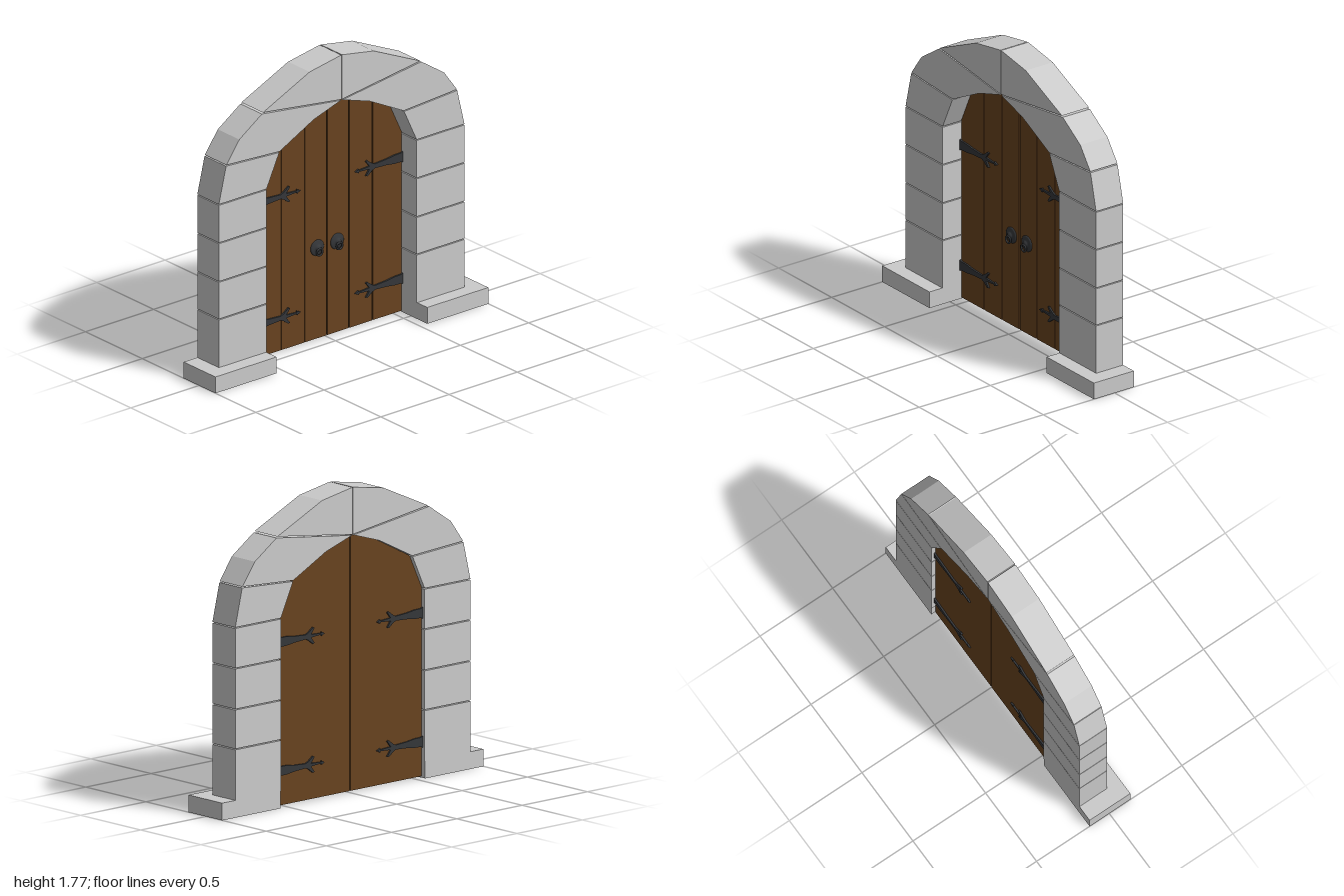
import * as THREE from 'three';

const stoneMat = new THREE.MeshStandardMaterial({ color: 0xcccccc, flatShading: true });
const woodMat = new THREE.MeshStandardMaterial({ color: 0x69431f, flatShading: true });
const ironMat = new THREE.MeshStandardMaterial({ color: 0x35373a });

const BACK = -0.135, FRONT = 0.055;             // stone depth
const DOOR_BACK = -0.11, DOOR_FRONT = -0.075;   // door depth
const GAP = 0.003;

// Flat outline extruded between two depths; side = -1 mirrors it in x
function slab(name, points, side, z0, z1, material) {
  const shape = new THREE.Shape(points.map(([x, y]) => new THREE.Vector2(x * side, y)));
  const geometry = new THREE.ExtrudeGeometry(shape, { depth: z1 - z0, bevelEnabled: false });
  geometry.translate(0, 0, z0);
  const mesh = new THREE.Mesh(geometry, material);
  mesh.name = name;
  return mesh;
}

const rect = (x0, x1, y0, y1) => [[x0, y0], [x1, y0], [x1, y1], [x0, y1]];

// Height of the door's arched top at a given x
const archLine = [[0, 1.495], [0.205, 1.43], [0.457, 1.3], [0.55, 1.1]];
function archHeight(x) {
  for (let i = 1; i < archLine.length; i++) {
    const [xa, ya] = archLine[i - 1], [xb, yb] = archLine[i];
    if (x <= xb) return ya + (yb - ya) * (x - xa) / (xb - xa);
  }
  return 1.1;
}

// Door outline between two x positions, following the arch
function doorOutline(x0, x1, y0) {
  const top = archLine.filter(([x]) => x > x0 && x < x1).reverse();
  return [[x0, y0], [x1, y0], [x1, archHeight(x1)], ...top, [x0, archHeight(x0)]];
}

function buildStonework(side) {
  const group = new THREE.Group();
  group.name = side > 0 ? 'leftStonework' : 'rightStonework';

  // Wide foot stepping out to the front
  group.add(slab('footStone', rect(0.553, 1, 0, 0.1), side, BACK, 0.145, stoneMat));

  // Pillar blocks with thin joints
  const joints = [0.1, 0.395, 0.625, 0.862, 1.097];
  for (let i = 0; i < 4; i++) {
    const bottom = joints[i] + (i ? GAP : 0);
    group.add(slab('pillarStone', rect(0.55, 0.9, bottom, joints[i + 1] - GAP), side, BACK, FRONT, stoneMat));
  }

  // Arch stones
  const archStones = [
    [[0.55, 1.1], [0.9, 1.1], [0.847, 1.32], [0.458, 1.297]],
    [[0.455, 1.303], [0.845, 1.327], [0.75, 1.457], [0.585, 1.568], [0.006, 1.493], [0.205, 1.43]],
    [[GAP, 1.498], [0.577, 1.575], [0.235, 1.73], [GAP, 1.77]],
  ];
  for (const points of archStones) {
    group.add(slab('archStone', points, side, BACK, FRONT, stoneMat));
  }
  return group;
}

// Strap hinge tapering to a leaf-and-arrow tip
function hingeOutline(y) {
  const half = [
    [0.55, 0.033], [0.535, 0.027], [0.49, 0.026], [0.43, 0.018], [0.345, 0.013],
    [0.325, 0.022], [0.29, 0.048], [0.278, 0.044], [0.305, 0.009],
    [0.227, 0.004], [0.225, 0.012], [0.2, 0.0],
  ];
  const lower = half.slice(0, -1).reverse().map(([x, h]) => [x, y - h]);
  return [...half.map(([x, h]) => [x, y + h]), ...lower];
}

// Round back plate, domed boss and a small hanging pull
function buildHandle() {
  const group = new THREE.Group();
  group.name = 'doorHandle';
  const profile = [[0, 0.026], [0.012, 0.024], [0.02, 0.016], [0.024, 0.01], [0.042, 0.009], [0.048, 0.004], [0.048, 0]];
  const plate = new THREE.Mesh(
    new THREE.LatheGeometry(profile.reverse().map(([r, h]) => new THREE.Vector2(r, h)), 20), ironMat);
  plate.rotation.x = Math.PI / 2;
  plate.name = 'handlePlate';
  const ring = new THREE.Mesh(new THREE.TorusGeometry(0.021, 0.006, 8, 20), ironMat);
  ring.position.set(0, -0.021, 0.024);
  ring.name = 'handleRing';
  group.add(plate, ring);
  return group;
}

function buildDoor(side) {
  const group = new THREE.Group();
  group.name = side > 0 ? 'leftDoor' : 'rightDoor';
  const inner = 0.004, outer = 0.547;

  // Plain backing panel with planks in front, leaving narrow grooves
  group.add(slab('doorPanel', doorOutline(inner, outer, 0.01), side, DOOR_BACK, -0.085, woodMat));
  const edges = [inner, 0.163, 0.335, outer];
  for (let i = 0; i < 3; i++) {
    const x0 = edges[i] + (i > 0 ? GAP : 0), x1 = edges[i + 1] - (i < 2 ? GAP : 0);
    group.add(slab('doorPlank', doorOutline(x0, x1, 0.01), side, -0.085, DOOR_FRONT, woodMat));
  }

  // Hinges on both faces
  for (const y of [0.21, 0.955]) {
    group.add(slab('frontHinge', hingeOutline(y), side, DOOR_FRONT, DOOR_FRONT + 0.01, ironMat));
    group.add(slab('backHinge', hingeOutline(y), side, DOOR_BACK - 0.01, DOOR_BACK, ironMat));
  }

  const handle = buildHandle();
  handle.position.set(side * 0.073, 0.567, DOOR_FRONT);
  group.add(handle);
  return group;
}

export function createModel() {
  const model = new THREE.Group();
  model.name = 'archedDoorway';
  for (const side of [1, -1]) model.add(buildStonework(side), buildDoor(side));
  return model;
}
